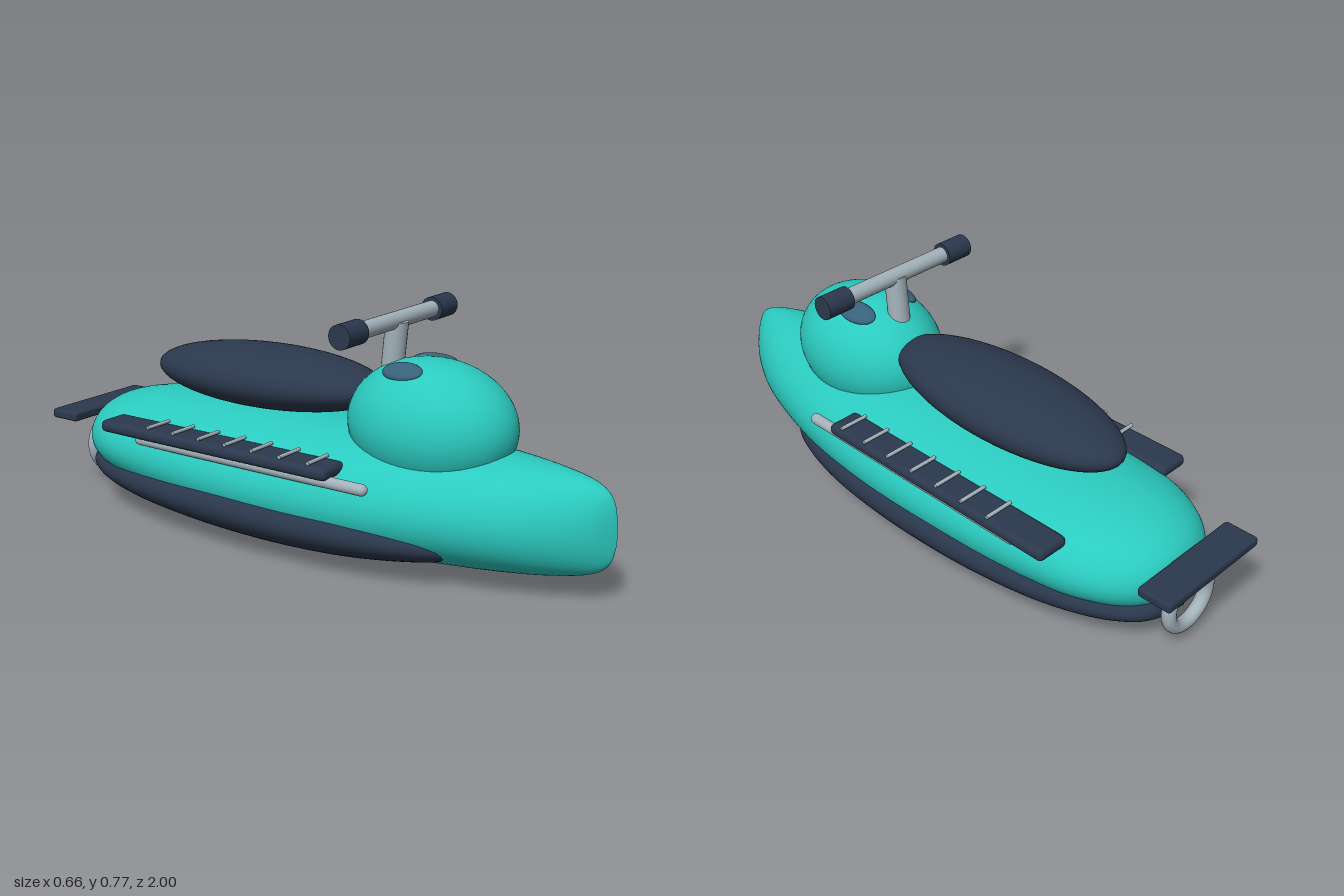
import * as THREE from 'three';
import { RoundedBoxGeometry } from 'three/addons/geometries/RoundedBoxGeometry.js';

const material = (color) => new THREE.MeshStandardMaterial({ color });

// Smooth closed body from elliptical stations [z, halfWidth, topY, bottomY], bow to stern
function loft(stations, steps = 80, sides = 56) {
  const curve = (pick) => new THREE.CatmullRomCurve3(stations.map(pick), false, 'catmullrom', 0.5);
  const plan = curve(([z, w]) => new THREE.Vector3(w, 0, z));
  const profile = curve(([, , top, bottom]) => new THREE.Vector3(top, bottom, 0));
  const positions = [], index = [];
  for (let i = 0; i <= steps; i++) {
    const p = plan.getPoint(i / steps), q = profile.getPoint(i / steps);
    const mid = (q.x + q.y) / 2, half = (q.x - q.y) / 2;
    for (let j = 0; j < sides; j++) {
      const a = (j / sides) * Math.PI * 2;
      positions.push(Math.max(p.x, 0) * Math.cos(a), mid + half * Math.sin(a), p.z);
      if (i === steps) continue;
      const n = (j + 1) % sides, r = i * sides, s = r + sides;
      index.push(r + j, s + j, r + n, r + n, s + j, s + n);
    }
  }
  const geometry = new THREE.BufferGeometry();
  geometry.setAttribute('position', new THREE.Float32BufferAttribute(positions, 3));
  geometry.setIndex(index);
  geometry.computeVertexNormals();
  return geometry;
}

const ellipsoid = (rx, ry, rz) => new THREE.SphereGeometry(1, 48, 32).scale(rx, ry, rz);
const rod = (radius, length) => new THREE.CylinderGeometry(radius, radius, length, 24);

export function createModel() {
  const model = new THREE.Group();
  model.name = 'waterScooter';
  const teal = material(0x2bcabf), navy = material(0x2b384d);
  const slate = material(0x38627a), metal = material(0xa3b2ba);

  function add(name, geometry, mat, x, y, z) {
    const mesh = new THREE.Mesh(geometry, mat);
    mesh.name = name;
    mesh.position.set(x, y, z);
    model.add(mesh);
    return mesh;
  }

  // Upper hull with a sharp upright bow
  add('hull', loft([
    [1.0, 0, 0.25, 0.19], [0.985, 0.02, 0.315, 0.135], [0.95, 0.06, 0.352, 0.1],
    [0.88, 0.11, 0.374, 0.077], [0.76, 0.172, 0.388, 0.058], [0.6, 0.226, 0.398, 0.044],
    [0.4, 0.275, 0.406, 0.033], [0.2, 0.304, 0.409, 0.026], [0, 0.315, 0.409, 0.025],
    [-0.2, 0.313, 0.408, 0.03], [-0.4, 0.304, 0.406, 0.045], [-0.58, 0.286, 0.4, 0.067],
    [-0.7, 0.262, 0.387, 0.087], [-0.8, 0.212, 0.362, 0.108], [-0.86, 0.155, 0.33, 0.135],
    [-0.89, 0.09, 0.295, 0.165], [-0.9, 0, 0.25, 0.21],
  ]), teal, 0, 0, 0);

  // Dark lower hull
  add('lowerHull', loft([
    [0.62, 0, 0.14, 0.12], [0.6, 0.12, 0.17, 0.092], [0.55, 0.205, 0.195, 0.067],
    [0.43, 0.265, 0.232, 0.042], [0.25, 0.308, 0.262, 0.018], [0.05, 0.325, 0.275, 0.005],
    [-0.15, 0.327, 0.277, 0.004], [-0.35, 0.316, 0.268, 0.012], [-0.55, 0.287, 0.25, 0.028],
    [-0.7, 0.243, 0.228, 0.047], [-0.81, 0.188, 0.205, 0.069], [-0.88, 0.12, 0.18, 0.095],
    [-0.91, 0, 0.15, 0.125],
  ]), navy, 0, 0, 0);

  // Cowl and seat
  add('cowl', ellipsoid(0.205, 0.2, 0.27), teal, 0, 0.44, 0.4);
  add('seat', ellipsoid(0.175, 0.1, 0.44), navy, 0, 0.5, -0.21).rotation.x = -0.02;

  // Steering stem and handlebar
  add('steeringStem', rod(0.035, 0.15), metal, 0, 0.663, 0.266).rotation.x = 0.1;
  add('handlebar', rod(0.026, 0.5), metal, 0, 0.738, 0.27).rotation.z = Math.PI / 2;

  for (const side of [-1, 1]) {
    const label = side > 0 ? 'left' : 'right';
    add(label + 'Grip', rod(0.037, 0.096), navy, side * 0.249, 0.738, 0.27).rotation.z = Math.PI / 2;

    // Oval vent lying on the cowl
    const vent = add(label + 'Vent', ellipsoid(0.038, 0.018, 0.07), slate, side * 0.094, 0.611, 0.352);
    vent.rotation.set(-0.05, side * 0.12, side * -0.48);

    // Footboard with tread ribs and a side rail below
    add(label + 'Footboard', new RoundedBoxGeometry(0.112, 0.04, 0.89, 4, 0.018), navy, side * 0.272, 0.332, -0.205);
    for (let i = 0; i < 7; i++) {
      add(label + 'TreadRib', rod(0.006, 0.1), metal, side * 0.275, 0.36, 0.18 - i * 0.1035).rotation.z = Math.PI / 2;
    }
    add(label + 'SideRail', new THREE.CapsuleGeometry(0.018, 0.85, 6, 20), metal, side * 0.291, 0.303, -0.08).rotation.x = Math.PI / 2;
  }

  // Stern platform and tow ring
  add('sternPlatform', new RoundedBoxGeometry(0.41, 0.032, 0.112, 3, 0.01), navy, 0, 0.29, -0.944);
  add('towRing', new THREE.TorusGeometry(0.088, 0.022, 20, 48), metal, 0, 0.157, -0.922);
  return model;
}
